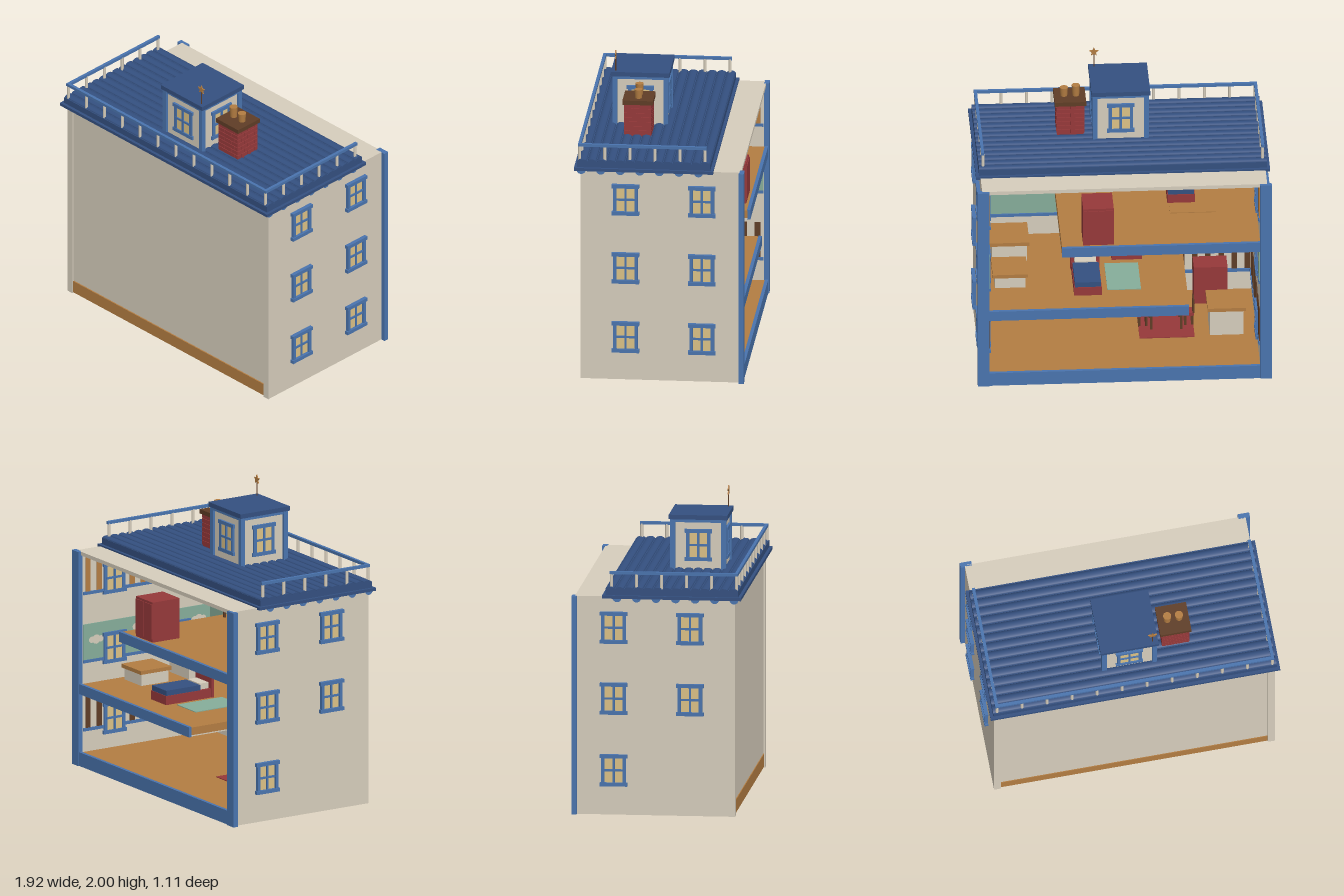
import * as THREE from 'three';

const mat = (name, color, side = THREE.FrontSide) => {
  const m = new THREE.MeshStandardMaterial({ color, side });
  m.name = name;
  return m;
};

export function createModel() {
  const cream = mat('cream', 0xd6cdbc, THREE.DoubleSide);
  const blue = mat('trim blue', 0x4a74ae, THREE.DoubleSide);
  const navy = mat('roof navy', 0x345080);
  const wood = mat('wood', 0xb37d42);
  const red = mat('brick red', 0x96393a);
  const brown = mat('dark brown', 0x5f3d26);
  const yellow = mat('window yellow', 0xdcc286);
  const green = mat('wallpaper green', 0x86ad9a);

  const root = new THREE.Group();
  root.name = 'dollhouse';
  const group = (name, parent = root) => {
    const g = new THREE.Group();
    g.name = name;
    parent.add(g);
    return g;
  };
  const mesh = (parent, name, geo, material, x = 0, y = 0, z = 0) => {
    const m = new THREE.Mesh(geo, material);
    m.name = name;
    m.position.set(x, y, z);
    parent.add(m);
    return m;
  };
  // box given by its minimum and maximum on every axis
  const box = (parent, name, material, x0, x1, y0, y1, z0, z1) =>
    mesh(parent, name, new THREE.BoxGeometry(x1 - x0, y1 - y0, z1 - z0), material,
      (x0 + x1) / 2, (y0 + y1) / 2, (z0 + z1) / 2);

  // window facing +z, centred on its own origin
  const makeWindow = (parent, x, y, z, ry, d = 0.025) => {
    const g = group('window', parent);
    g.position.set(x, y, z);
    g.rotation.y = ry;
    box(g, 'glass', yellow, -0.065, 0.065, -0.085, 0.085, 0, 0.006);
    for (const s of [-1, 1]) {
      box(g, 'jamb', blue, s * 0.07 - 0.011, s * 0.07 + 0.011, -0.09, 0.09, 0, d * 0.8);
      box(g, 'sill', blue, -0.09, 0.09, s * 0.093 - 0.012, s * 0.093 + 0.012, 0, d);
    }
    box(g, 'mullion', blue, -0.007, 0.007, -0.085, 0.085, 0, 0.014);
    box(g, 'crossbar', blue, -0.065, 0.065, -0.007, 0.007, 0, 0.014);
  };

  // shell: front wall, side walls, top strip
  const shell = group('shell');
  box(shell, 'frontWall', cream, -0.885, 0.885, 0.095, 1.44, 0.475, 0.505);
  box(shell, 'ceilingStrip', cream, -0.93, 0.93, 1.42, 1.445, -0.535, -0.33);
  for (const s of [-1, 1]) {
    const x = s * 0.908;
    box(shell, 'sideWall', cream, x - 0.023, x + 0.023, 0, 1.445, -0.525, 0.515);
    box(shell, 'backPost', blue, s * 0.922 - 0.038, s * 0.922 + 0.038, 0, 1.445, -0.556, -0.522);
    [0.295, 0.77, 1.24].forEach((y, level) => [0.22, -0.28].forEach((z, i) => {
      if (s < 0 && level === 0 && i === 0) return;
      makeWindow(shell, s * 0.931, y, z, s * Math.PI / 2);
      makeWindow(shell, s * 0.879, y, z, -s * Math.PI / 2, 0.015);
    }));
  }

  // floors; the upper two leave a stair opening at opposite ends
  const floors = [[-0.885, 0.885, 0.005, 0.09], [-0.42, 0.885, 0.49, 0.55], [-0.885, 0.41, 0.95, 1.01]];
  floors.forEach(([x0, x1, y0, y1], i) => {
    const f = group('floor');
    box(f, 'boards', wood, x0, x1, i ? y0 + 0.008 : y0, y1, -0.53, i ? 0.475 : 0.508);
    if (i) box(f, 'ceiling', cream, x0, x1, y0, y0 + 0.008, -0.53, 0.475);
    box(f, 'backTrim', blue, x0, x1, y0 - 0.004, y1 + 0.004, -0.55, -0.528);
  });

  // wallpaper above a blue rail, on the inner walls of each storey
  const paper = group('wallpaper');
  [0.09, 0.55, 1.01].forEach((y, level) => {
    const y0 = y + 0.16, y1 = y + (level === 2 ? 0.42 : 0.4);
    box(paper, 'rail', blue, -0.885, 0.885, y0 - 0.02, y0, 0.46, 0.475);
    if (level === 1) box(paper, 'frontPaper', green, -0.885, 0.885, y0, y1, 0.469, 0.475);
    else for (let x = -0.86; x < 0.88; x += 0.086)
      box(paper, 'stripe', level ? wood : brown, x - 0.018, x + 0.018, y0, y1, 0.47, 0.475);
    for (const s of [-1, 1]) {
      const side = group('sidePaper', paper);
      side.position.x = s * 0.882;
      box(side, 'rail', blue, -0.008, 0.008, y0 - 0.02, y0, -0.52, 0.475);
      if (level === 1) {
        box(side, 'greenPaper', green, -0.003, 0.003, y0, y1, -0.52, 0.475);
        for (const [z, dy] of [[-0.42, 0.13], [-0.08, 0.17], [0.02, 0.08], [0.38, 0.15]])
          for (const k of [-1, 0, 1]) {
            const puff = mesh(side, 'cloud', new THREE.CircleGeometry(k ? 0.022 : 0.032, 12), cream,
              -s * 0.005, y0 + dy, z + k * 0.035);
            puff.rotation.y = -s * Math.PI / 2;
          }
      } else for (let z = -0.48; z < 0.47; z += 0.086)
        box(side, 'stripe', level ? wood : brown, -0.003, 0.003, y0, y1, z - 0.018, z + 0.018);
    }
  });

  // roof slab, eave edge, corrugated top
  const roof = group('roof');
  box(roof, 'eave', navy, -0.96, 0.96, 1.435, 1.455, -0.355, 0.556);
  box(roof, 'slab', navy, -0.94, 0.94, 1.455, 1.497, -0.335, 0.536);
  for (let i = 0; i < 14; i++) {
    const rib = mesh(roof, 'roofRib', new THREE.CylinderGeometry(0.029, 0.029, 1.88, 10), navy, 0, 1.495, -0.304 + i * 0.062);
    rib.rotation.z = Math.PI / 2;
    rib.scale.x = 0.5;
  }
  // scalloped bunting under the sides and the open edge
  const half = new THREE.CircleGeometry(0.03, 12, Math.PI, Math.PI);
  for (let i = 0; i < 14; i++)
    for (const s of [-1, 1])
      mesh(roof, 'sideScallop', half, i % 2 ? cream : blue, s * 0.945, 1.44, 0.51 - i * 0.064).rotation.y = Math.PI / 2;
  for (let i = 0; i < 29; i++)
    mesh(roof, 'backScallop', half, i % 2 ? cream : blue, -0.9 + i * 0.0643, 1.44, -0.348);

  // railing around three sides
  const railing = group('railing');
  const postGeo = new THREE.CylinderGeometry(0.01, 0.01, 0.1, 10);
  const rail = (...b) => box(railing, 'handrail', blue, ...b);
  rail(-0.925, 0.925, 1.591, 1.61, 0.512, 0.532);
  for (let i = 0; i < 12; i++) mesh(railing, 'post', postGeo, cream, -0.913 + i * 0.166, 1.545, 0.522);
  for (const s of [-1, 1]) {
    rail(s * 0.915 - 0.01, s * 0.915 + 0.01, 1.591, 1.61, -0.31, 0.532);
    for (let i = 1; i < 6; i++) mesh(railing, 'post', postGeo, cream, s * 0.913, 1.545, 0.522 - i * 0.164);
  }

  // rooftop cabin with a window on each side
  const cabin = group('cabin');
  cabin.position.set(-0.006, 0, 0.192);
  box(cabin, 'cabinWalls', cream, -0.168, 0.168, 1.49, 1.83, -0.168, 0.168);
  box(cabin, 'cabinRoof', navy, -0.192, 0.192, 1.83, 1.86, -0.192, 0.192);
  box(cabin, 'cabinBeam', blue, -0.181, 0.181, 1.81, 1.832, -0.181, 0.181);
  for (const sx of [-1, 1]) for (const sz of [-1, 1])
    mesh(cabin, 'cornerPost', new THREE.BoxGeometry(0.032, 0.33, 0.032), blue, sx * 0.167, 1.66, sz * 0.167);
  for (let i = 0; i < 4; i++) {
    const a = i * Math.PI / 2;
    makeWindow(cabin, Math.sin(a) * 0.169, 1.66, Math.cos(a) * 0.169, a, 0.015);
  }
  // star on a pole
  mesh(cabin, 'pole', new THREE.CylinderGeometry(0.004, 0.004, 0.11, 8), brown, 0.156, 1.91, 0.163);
  const star = new THREE.Shape();
  for (let i = 0; i < 10; i++) {
    const r = i % 2 ? 0.014 : 0.032, a = Math.PI / 2 + i * Math.PI / 5;
    star[i ? 'lineTo' : 'moveTo'](r * Math.cos(a), r * Math.sin(a));
  }
  mesh(cabin, 'star', new THREE.ExtrudeGeometry(star, { depth: 0.008, bevelEnabled: false }), wood, 0.156, 1.968, 0.159);

  // brick chimney
  const chimney = group('chimney');
  chimney.position.set(0.318, 0, 0.187);
  box(chimney, 'chimneyCore', red, -0.086, 0.086, 1.49, 1.72, -0.086, 0.086);
  for (let row = 0; row < 7; row++)
    for (let side = 0; side < 4; side++) {
      const face = group('brickRow', chimney);
      face.rotation.y = side * Math.PI / 2;
      const y = 1.51 + row * 0.03;
      const cuts = row % 2 ? [-0.09, -0.03, 0.03, 0.09] : [-0.09, -0.06, 0, 0.06, 0.09];
      for (let k = 1; k < cuts.length; k++)
        box(face, 'brick', red, cuts[k - 1] + 0.002, cuts[k] - 0.002, y, y + 0.026, 0.08, 0.091);
    }
  box(chimney, 'chimneyCap', brown, -0.103, 0.103, 1.716, 1.745, -0.1, 0.1);
  [[-0.04, 1.82], [0.038, 1.805]].forEach(([x, top]) =>
    mesh(chimney, 'chimneyPot', new THREE.CylinderGeometry(0.027, 0.022, top - 1.74, 16), wood, x, (top + 1.74) / 2, 0));

  // furniture
  const room = group('furniture');
  const legged = (name, x, y, z, w, d, h, top, leg) => {
    const g = group(name, room);
    g.position.set(x, y, z);
    box(g, 'top', top, -w / 2, w / 2, h - 0.02, h, -d / 2, d / 2);
    for (const sx of [-1, 1]) for (const sz of [-1, 1])
      mesh(g, 'leg', new THREE.BoxGeometry(0.014, h - 0.02, 0.014), leg,
        sx * (w / 2 - 0.012), (h - 0.02) / 2, sz * (d / 2 - 0.012));
    return g;
  };
  const counter = (x0, x1, y, h, z0, z1) => {
    const g = group('counter', room);
    box(g, 'base', cream, x0, x1, y, y + h - 0.02, z0, z1);
    box(g, 'top', wood, x0 - 0.015, x1 + 0.015, y + h - 0.02, y + h + 0.005, z0 - 0.015, z1 + 0.015);
  };
  const bed = (x, y, z) => {
    const g = group('bed', room);
    g.position.set(x, y, z);
    box(g, 'frame', red, -0.09, 0.09, 0, 0.06, -0.18, 0.18);
    box(g, 'blanket', navy, -0.085, 0.085, 0.06, 0.095, -0.175, 0.09);
    box(g, 'pillow', cream, -0.07, 0.07, 0.06, 0.1, 0.095, 0.165);
    box(g, 'headboard', red, -0.095, 0.095, 0, 0.16, 0.17, 0.19);
  };
  // top storey
  box(room, 'wardrobe', red, 0.07, 0.27, 1.01, 1.28, -0.51, -0.3);
  for (const x of [0.075, 0.173]) box(room, 'wardrobeDoor', red, x, x + 0.092, 1.03, 1.265, -0.516, -0.51);
  bed(-0.4, 1.01, 0.2);
  box(room, 'topRug', wood, -0.62, -0.32, 1.01, 1.015, -0.12, 0.0);
  legged('desk', 0.25, 1.01, 0.3, 0.22, 0.16, 0.15, wood, brown);
  // middle storey
  bed(0.23, 0.55, -0.18);
  box(room, 'greenRug', green, -0.12, 0.1, 0.55, 0.555, -0.3, 0.05);
  box(room, 'chest', red, -0.15, 0.05, 0.55, 0.65, 0.1, 0.25);
  counter(0.63, 0.83, 0.55, 0.1, -0.23, -0.02);
  counter(0.6, 0.83, 0.55, 0.14, 0.12, 0.36);
  // ground storey
  box(room, 'redRug', red, -0.48, -0.12, 0.09, 0.095, -0.14, 0.2);
  legged('table', -0.3, 0.095, 0.05, 0.22, 0.18, 0.15, wood, brown);
  for (const s of [-1, 1]) {
    const chair = legged('chair', -0.3 + s * 0.15, 0.095, 0.05, 0.07, 0.08, 0.09, red, brown);
    box(chair, 'chairBack', brown, s * 0.03 - 0.006, s * 0.03 + 0.006, 0.09, 0.19, -0.04, 0.04);
  }
  counter(-0.8, -0.58, 0.09, 0.2, -0.12, 0.1);
  box(room, 'cupboard', red, -0.72, -0.5, 0.09, 0.36, 0.3, 0.45);

  return root;
}
